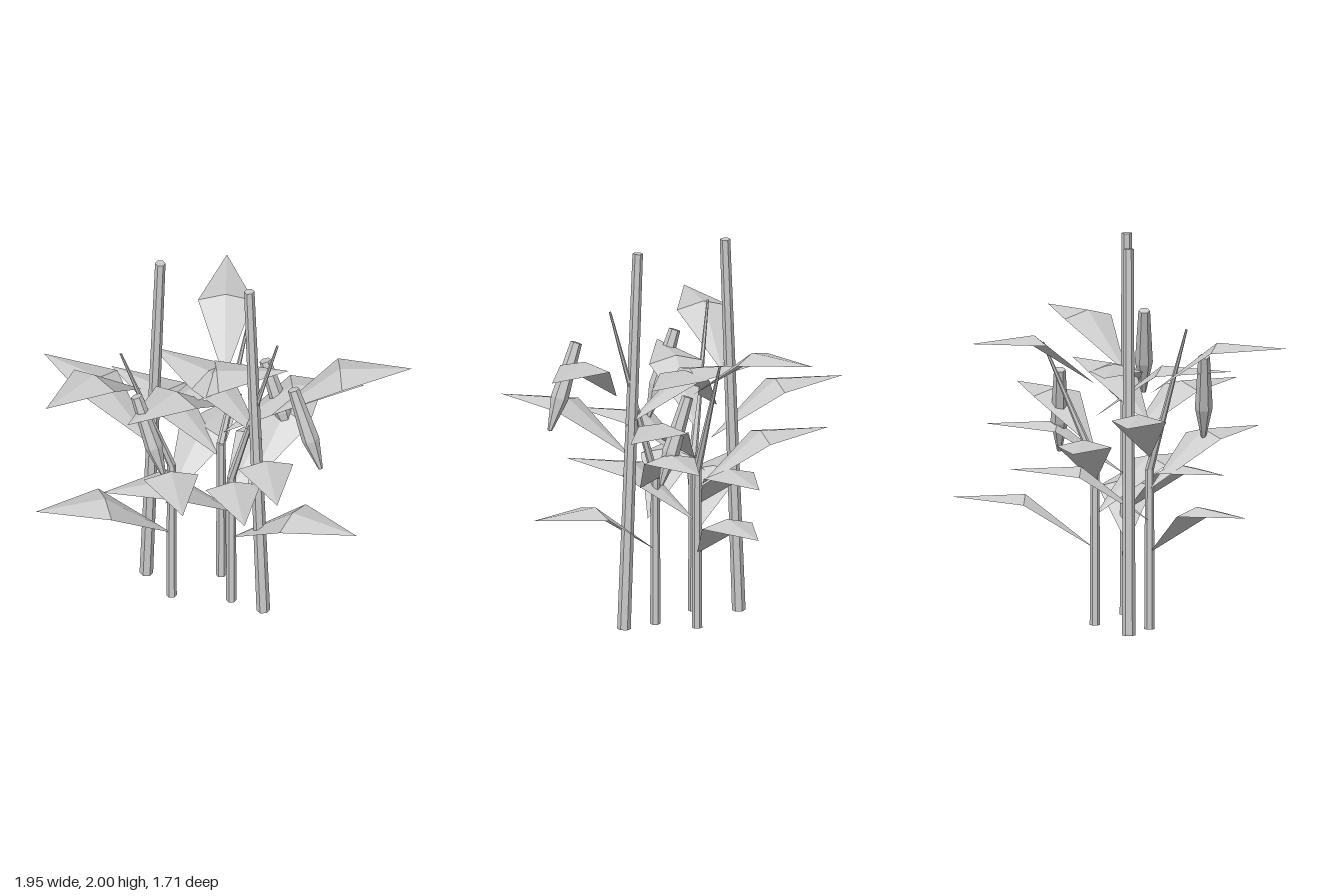
import * as THREE from 'three';

const material = new THREE.MeshStandardMaterial({ color: 0xcccccc, flatShading: true });
const leafMaterial = new THREE.MeshStandardMaterial({ color: 0xcccccc, flatShading: true, side: THREE.DoubleSide });
const V = (x, y, z) => new THREE.Vector3(x, y, z);
const UP = V(0, 1, 0);

// Six-sided tapered rod between two points
function rod(name, a, b, r0, r1) {
  const dir = b.clone().sub(a);
  const mesh = new THREE.Mesh(new THREE.CylinderGeometry(r1, r0, dir.length(), 6), material);
  mesh.position.copy(a).lerp(b, 0.5);
  mesh.quaternion.setFromUnitVectors(UP, dir.normalize());
  mesh.name = name;
  return mesh;
}

// Folded leaf along +x: base, raised ridge point, two lower side corners, tip
function leafGeometry(length) {
  const m = length * 0.49, w = 0.143;
  const geometry = new THREE.BufferGeometry();
  geometry.setAttribute('position', new THREE.Float32BufferAttribute([
    0, 0, 0, m, 0.28, 0, m, 0.243, w, m, 0.243, -w, length, 0.262, 0,
  ], 3));
  geometry.setIndex([0, 2, 1, 0, 1, 3, 2, 4, 1, 1, 4, 3]);
  const flat = geometry.toNonIndexed();
  flat.computeVertexNormals();
  return flat;
}

// Leaf reaching from its base out to the tip at [x, z]
function leaf(base, [x, z]) {
  const dx = x - base.x, dz = z - base.z;
  const mesh = new THREE.Mesh(leafGeometry(Math.hypot(dx, dz)), leafMaterial);
  mesh.position.copy(base);
  mesh.rotation.y = -Math.atan2(dz, dx);
  mesh.name = 'leaf';
  return mesh;
}

// Hanging pod: blunt at the top, swelling, then tapering to a point
function pod(x, y, z) {
  const profile = [[0, -0.48], [0.012, -0.475], [0.046, -0.3], [0.03, 0], [0, 0]]
    .map(([r, h]) => new THREE.Vector2(r, h));
  const mesh = new THREE.Mesh(new THREE.LatheGeometry(profile, 6), material);
  mesh.position.set(x, y, z);
  mesh.rotation.z = 0.34;
  mesh.name = 'pod';
  return mesh;
}

// Each plant: stem base, bend, tip, sideways shift per leaf level,
// and leaf tips [x, z] from the lowest level up
const plants = [
  { base: V(-0.16, 0, 0.148), bend: V(-0.16, 0.83, 0.148), top: V(-0.356, 1.59, 0.335), shift: -0.035,
    leaves: [[-0.69, 0.635], [-0.135, -0.57], [0.215, 0.72], [-0.975, 0.02], [0.315, -0.24], [-0.515, 0.85]] },
  { base: V(-0.02, 0, -0.13), bend: V(-0.02, 0.84, -0.13), top: V(0, 1.47, -0.397), shift: 0.004,
    leaves: [[0.04, -0.86], [0.425, 0.44], [-0.73, -0.255], [0.605, -0.52], [-0.19, 0.57], [-0.335, -0.775]] },
  { base: V(0.13, 0, 0.038), bend: V(0.13, 0.78, 0.038), top: V(0.4, 1.71, 0.038), shift: 0.046,
    leaves: [[0.86, 0.035], [-0.355, 0.53], [0.29, -0.69], [0.71, 0.615], [-0.4, -0.09], [0.975, -0.355]] },
];

export function createModel() {
  const model = new THREE.Group();
  model.name = 'stakedPlants';

  // Two leaning support poles
  model.add(
    rod('supportPole', V(-0.367, 0, 0.038), V(-0.285, 2, 0.038), 0.035, 0.027),
    rod('supportPole', V(0.317, 0, 0.038), V(0.235, 2, 0.038), 0.035, 0.027),
  );

  // Bent stems with leaves spiralling up
  for (const { base, bend, top, shift, leaves } of plants) {
    const plant = new THREE.Group();
    plant.name = 'plant';
    plant.add(rod('lowerStem', base, bend, 0.027, 0.023), rod('upperStem', bend, top, 0.022, 0.006));
    leaves.forEach((tip, i) => plant.add(leaf(V(base.x + shift * i, 0.397 + 0.171 * i, base.z), tip)));
    model.add(plant);
  }

  // Hanging pods
  model.add(pod(0.545, 1.545, 0.133), pod(-0.213, 1.427, 0.428), pod(0.14, 1.305, -0.308));
  return model;
}
